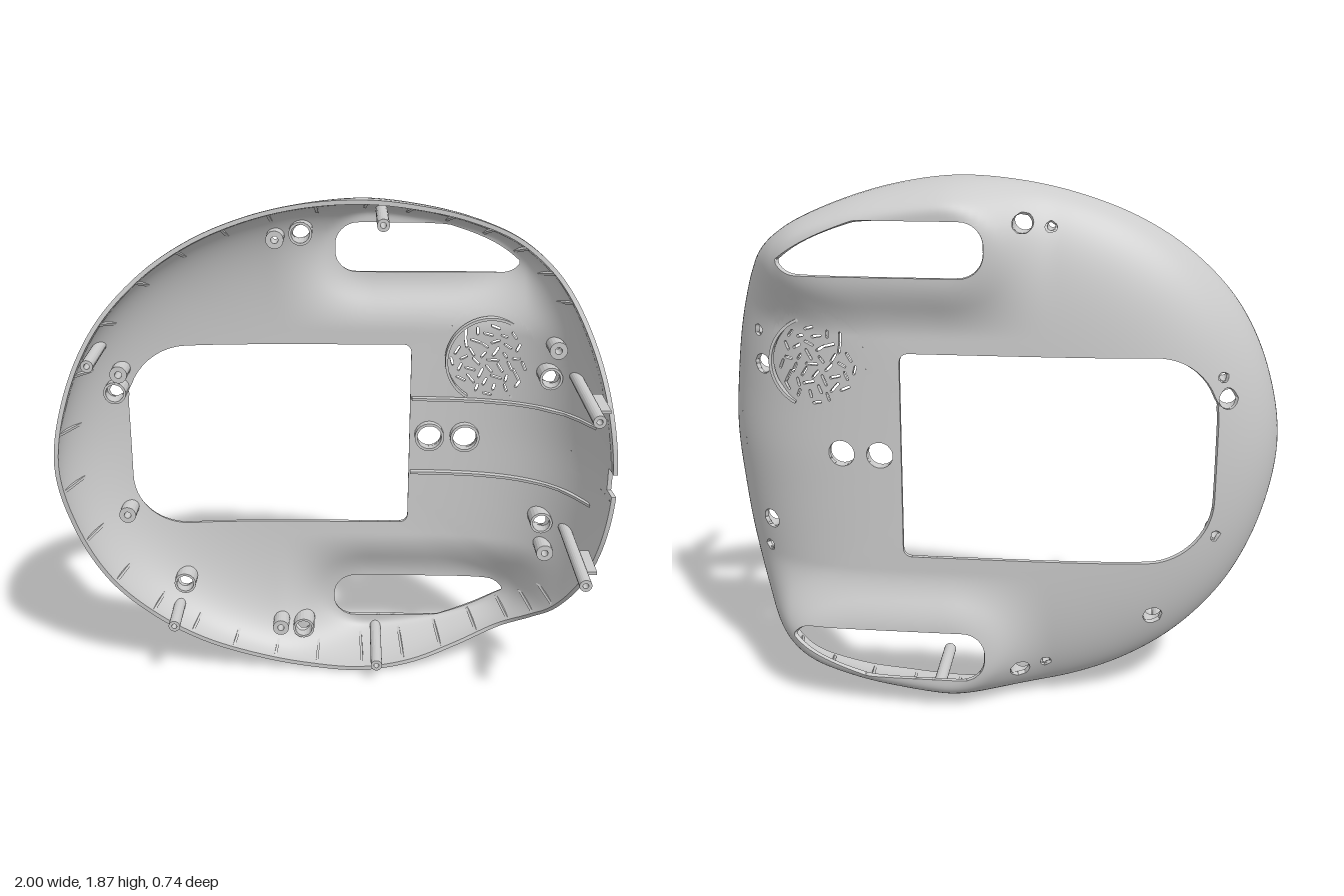
import * as THREE from 'three';
import { mergeVertices } from 'three/addons/utils/BufferGeometryUtils.js';

const CY = 0.935, THICK = 0.016, BACK = -0.37;
const { smoothstep, lerp } = THREE.MathUtils;
const grey = new THREE.MeshStandardMaterial({ color: 0xcccccc, side: THREE.DoubleSide });
const vec2 = list => list.map(p => new THREE.Vector2(...p));

// Upper half of the rim, from the right end to the left end; mirrored for the lower half
const half = [
  [1, 0, 0.2], [0.98, 0.22, 0.18], [0.935, 0.42, 0.1], [0.86, 0.6, -0.03], [0.785, 0.7, -0.14],
  [0.67, 0.785, -0.215], [0.5, 0.86, -0.19], [0.32, 0.91, -0.14], [0.12, 0.935, -0.12],
  [-0.1, 0.92, -0.125], [-0.3, 0.875, -0.12], [-0.5, 0.795, -0.1], [-0.68, 0.675, -0.075],
  [-0.84, 0.5, -0.035], [-0.95, 0.27, 0], [-1, 0, 0.03]];
const rim = new THREE.CatmullRomCurve3(
  [...half, ...half.slice(1, -1).reverse().map(([x, y, z]) => [x, -y, z])].map(p => new THREE.Vector3(...p)), true);

// Dished outer surface: u runs outwards to the rim, s runs round it
const radial = u => 1 - 0.75 * Math.pow(1 - u, 1.5);
function surface(u, s) {
  const t = radial(u), c = rim.getPoint(((s % 1) + 1) % 1);
  const x = c.x * t, y = c.y * t;
  // swelling around the two hand grips
  const grip = smoothstep(x, -0.22, 0.16) * (1 - smoothstep(x, 0.72, 0.92)) * smoothstep(Math.abs(y), 0.42, 0.8);
  const floor = -0.318 - 0.16 * grip;
  const f = 1 - Math.sqrt(Math.max(0, 1 - Math.pow(t, lerp(4.5, 8, grip))));
  const z = floor + (c.z - floor) * f;
  // softly flattened against the back plane
  const soft = Math.max(0, 0.03 - Math.abs(z - BACK));
  return new THREE.Vector3(x, CY + y, Math.max(BACK, z) + soft * soft / 0.12);
}

// Signed distances of the openings
function roundBox(x, y, hx, hy, r) {
  const a = Math.abs(x) - hx + r, b = Math.abs(y) - hy + r;
  return Math.hypot(Math.max(a, 0), Math.max(b, 0)) + Math.min(Math.max(a, b), 0) - r;
}
const guideHoles = [[-0.11, 1.735], [-0.8, 1.15], [0.8, 1.225], [0.8, 0.65], [-0.11, 0.14], [-0.575, 0.355]];
const screwHoles = [[-0.2, 1.72], [-0.78, 1.225], [-0.78, 0.66], [-0.2, 0.16], [0.815, 1.34], [0.815, 0.54]];
const portHoles = [[0.375, 0.94], [0.51, 0.94]];
const roundHoles = [...guideHoles.map(h => [...h, 0.034]), ...screwHoles.map(h => [...h, 0.02]), ...portHoles.map(h => [...h, 0.046])];

// Short slits scattered over the speaker disc
const SX = 0.59, SY = 1.25, SR = 0.14;
let seed = 7;
const rand = () => (seed = (seed * 16807) % 2147483647) / 2147483647;
const slits = Array.from({ length: 40 }, (_, i) => {
  const r = SR * Math.sqrt((i + 0.5) / 40), a = i * 2.39996, d = rand() * Math.PI, l = 0.008 + rand() * 0.012;
  return [SX + r * Math.cos(a), SY + r * Math.sin(a), Math.cos(d), Math.sin(d), l];
});
const nearSpeaker = p => Math.hypot(p.x - SX, p.y - SY) < SR + 0.04;
const nearNotch = p => p.x > 0.9 && Math.abs(p.y - 0.94) < 0.07;

function keep(p, t) {
  let d = roundBox(p.x + 0.235, p.y - CY, 0.535, 0.365, p.x < -0.2 ? 0.22 : 0.03);
  d = Math.min(d, Math.max(roundBox(p.x - 0.36, Math.abs(p.y - CY) - 0.72, 0.35, 0.092, 0.08), (t - 0.93) * 0.9));
  for (const [x, y, r] of roundHoles) d = Math.min(d, Math.hypot(p.x - x, p.y - y) - r);
  if (p.x > 0.8) d = Math.min(d, Math.max(Math.abs(p.y - 0.94) - 0.042, 0.13 - p.z));
  if (nearSpeaker(p)) for (const [x, y, c, s, l] of slits) {
    const k = THREE.MathUtils.clamp((p.x - x) * c + (p.y - y) * s, -l, l);
    d = Math.min(d, Math.hypot(p.x - x - c * k, p.y - y - s * k) - 0.0045);
  }
  return d;
}

// Point on the outer face, its partner on the inner face, and distance to the nearest opening
function vertex(u, s) {
  const o = surface(u, s), e = 1e-3;
  const du = o.clone().sub(surface(u - e, s)), ds = surface(u, s + e).sub(surface(u, s - e));
  return { o, i: o.clone().addScaledVector(du.cross(ds).normalize(), THICK), k: keep(o, radial(u)) };
}
const cut = (a, b) => {
  const f = a.k / (a.k - b.k);
  return { o: a.o.clone().lerp(b.o, f), i: a.i.clone().lerp(b.i, f), k: 0 };
};

function smoothMesh(points, name) {
  const g = mergeVertices(new THREE.BufferGeometry().setFromPoints(points), 1e-5);
  g.computeVertexNormals();
  const m = new THREE.Mesh(g, grey);
  m.name = name;
  return m;
}

function buildShell(group) {
  const NU = 66, NS = 228, outer = [], inner = [], edge = [];
  const wall = (a, b) => edge.push(a.o, b.o, b.i, a.o, b.i, a.i);
  // clip a triangle against the openings and wall the cut
  const triangle = (...v) => {
    const poly = [], ends = [];
    v.forEach((a, n) => {
      const b = v[(n + 1) % 3];
      if (a.k > 0) poly.push(a);
      if (a.k > 0 !== b.k > 0) { const c = cut(a, b); poly.push(c); ends.push(c); }
    });
    for (let n = 1; n + 1 < poly.length; n++) {
      inner.push(poly[0].i, poly[n].i, poly[n + 1].i);
      outer.push(poly[0].o, poly[n + 1].o, poly[n].o);
    }
    if (ends.length === 2) wall(...ends);
  };
  // the outermost quads also get the rim edge
  const quad = (a, b, c, d, atRim) => {
    triangle(a, b, c);
    triangle(a, c, d);
    if (atRim && (b.k > 0 || c.k > 0)) wall(b.k > 0 ? b : cut(c, b), c.k > 0 ? c : cut(b, c));
  };
  const grid = [];
  for (let i = 0; i <= NU; i++) grid.push(Array.from({ length: NS }, (_, j) => vertex(i / NU, j / NS)));
  for (let i = 0; i < NU; i++) for (let j = 0; j < NS; j++) {
    const k = (j + 1) % NS, last = i === NU - 1, p = grid[i][j].o;
    if (nearSpeaker(p) || nearNotch(p)) {
      const n = 4, sub = (a, b) => vertex((i + a / n) / NU, (j + b / n) / NS);
      for (let a = 0; a < n; a++) for (let b = 0; b < n; b++)
        quad(sub(a, b), sub(a + 1, b), sub(a + 1, b + 1), sub(a, b + 1), last && a === n - 1);
    } else quad(grid[i][j], grid[i + 1][j], grid[i + 1][k], grid[i][k], last);
  }
  group.add(smoothMesh(outer, 'shellOutside'), smoothMesh(inner, 'shellInside'), smoothMesh(edge, 'shellEdges'));
  const all = grid.flat().map(v => v.i);
  // inner face height at x, y
  return (x, y) => all.reduce((m, v) => {
    const d = (v.x - x) ** 2 + (v.y - y) ** 2;
    return d < m.d ? { d, z: v.z } : m;
  }, { d: 9, z: 0 }).z;
}

export function createModel() {
  const group = new THREE.Group();
  group.name = 'shellPanel';
  const add = (geo, name, x, y, z) => {
    const m = new THREE.Mesh(geo, grey);
    m.name = name;
    m.position.set(x, y, z);
    group.add(m);
    return m;
  };
  const extrude = (points, depth) => new THREE.ExtrudeGeometry(new THREE.Shape(vec2(points)), { depth, bevelEnabled: false });
  const insideZ = buildShell(group);

  // hollow tube along z, its foot shaped to the inside of the shell
  const tube = (name, x, y, tip, ri, ro) => {
    const g = new THREE.LatheGeometry(vec2([[ri, 0], [ro, 0], [ro, 1], [ri, 1], [ri, 0]]), 20).rotateX(Math.PI / 2);
    const p = g.attributes.position;
    for (let n = 0; n < p.count; n++)
      p.setZ(n, p.getZ(n) > 0.5 ? tip : Math.min(tip, insideZ(x + p.getX(n), y + p.getY(n)) - 0.006));
    const flat = g.toNonIndexed();
    flat.computeVertexNormals();
    add(flat, name, x, y, 0);
  };
  const boss = (name, list, h, ri, ro) => list.forEach(([x, y]) => tube(name, x, y, insideZ(x, y) + h, ri, ro));
  boss('guideBoss', guideHoles, 0.06, 0.033, 0.042);
  boss('screwBoss', screwHoles, 0.07, 0.013, 0.032);
  boss('portCollar', portHoles, 0.03, 0.046, 0.056);

  // locating posts, with their tip heights
  [[-0.84, 1.335, 0.1], [-0.6, 0.26, 0], [0.18, 1.8, -0.03], [0.18, 0.075, -0.03], [0.885, 1.24, 0.37], [0.885, 0.64, 0.37]]
    .forEach(([x, y, tip]) => tube('post', x, y, tip, 0.01, 0.022));
  for (const y of [1.24, 0.64]) add(new THREE.BoxGeometry(0.04, 0.012, 0.17), 'postGusset', 0.92, y, 0.19);

  // fins bridging the curve just inside the rim
  for (let n = 0; n < 30; n++) {
    const s = 0.1 + 0.8 * n / 29, c = rim.getPoint(s);
    const profile = [1, 0.98, 0.95, 0.91, 0.86, 0.81].map(u => {
      const p = vertex(u, s).i;
      return [Math.hypot(p.x, p.y - CY) + 0.003, p.z - 0.003];
    });
    const g = extrude(profile, 0.01).translate(0, 0, -0.005).rotateX(Math.PI / 2);
    add(g, 'rimFin', 0, CY, 0).rotation.z = Math.atan2(c.y, c.x);
  }

  // two ribs that follow the inside of the shell
  for (const y of [1.09, 0.79]) {
    const pts = Array.from({ length: 15 }, (_, n) => 0.305 + 0.64 * n / 14).map(x => [x, insideZ(x, y)]);
    const outline = [...pts.map(([x, z]) => [x, z + 0.025]), ...pts.reverse().map(([x, z]) => [x, z - 0.006])];
    add(extrude(outline, 0.01).rotateX(Math.PI / 2), 'rib', 0, y + 0.005, 0);
  }

  // collar round the speaker, open at the bottom
  const arc = new THREE.Shape();
  arc.absarc(0, 0, 0.166, -1.05, Math.PI + 1.05, false);
  arc.absarc(0, 0, 0.156, Math.PI + 1.05, -1.05, true);
  add(new THREE.ExtrudeGeometry(arc, { depth: 0.03, bevelEnabled: false, curveSegments: 32 }), 'speakerCollar', SX, SY, insideZ(SX, SY) - 0.006);
  return group;
}
